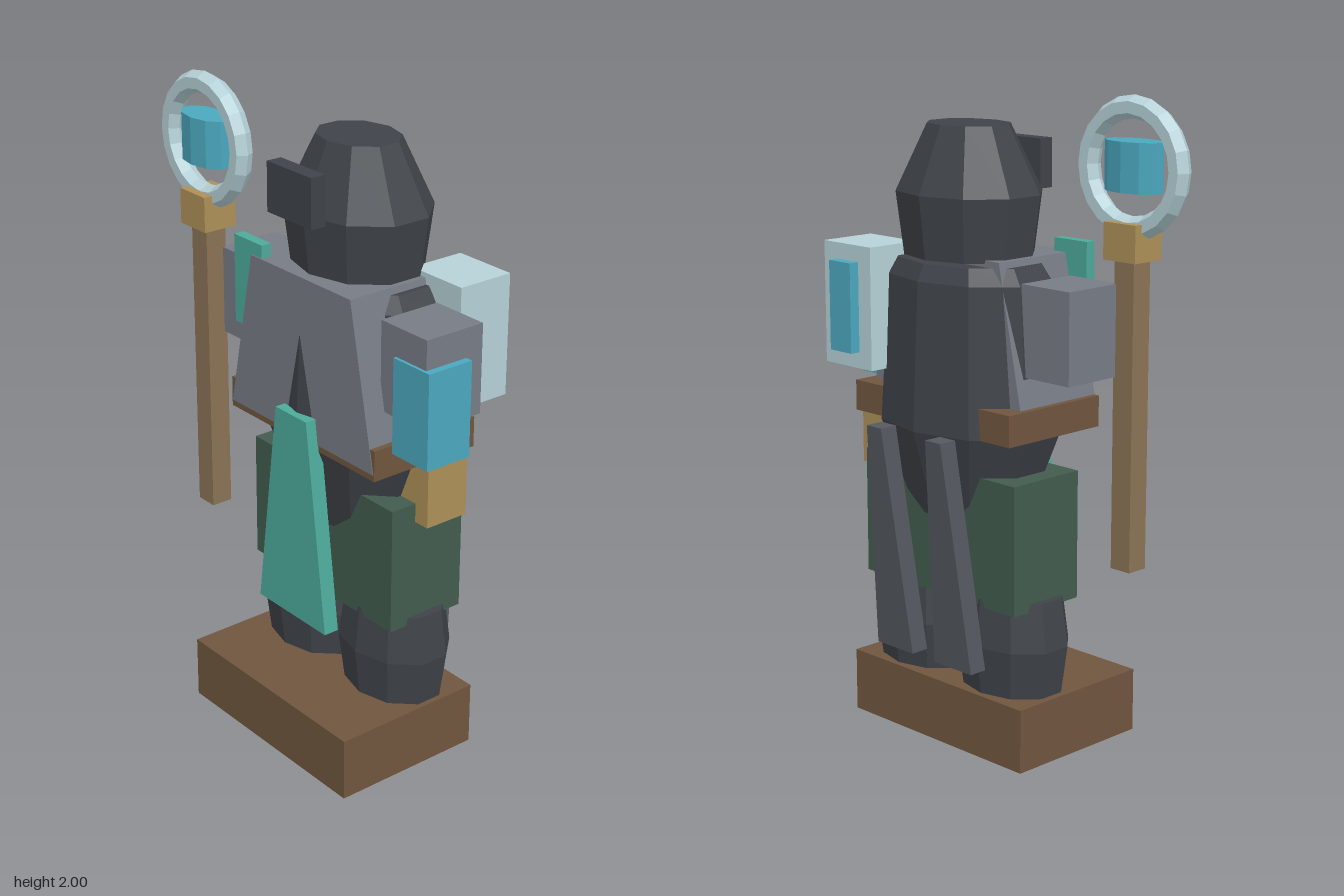
import * as THREE from 'three';

const COLORS = {
  dark: 0x3f4349, grey: 0x777c85, brown: 0x70563f, wood: 0x8a7355, tan: 0xae9058,
  green: 0x425c4e, teal: 0x4daa9b, blue: 0x4ba8bf, pale: 0xb6d2d8, strap: 0x555a61,
};
const CX = 0.105; // figure's own centre line
const CZ = -0.035;

export function createModel() {
  const model = new THREE.Group();
  const materials = {};
  for (const key in COLORS) {
    materials[key] = new THREE.MeshStandardMaterial({ color: COLORS[key], flatShading: true });
  }

  function add(name, geometry, color) {
    const mesh = new THREE.Mesh(geometry, materials[color]);
    mesh.name = name;
    model.add(mesh);
    return mesh;
  }

  // Box given by its extents on each axis
  function box(name, color, [x0, x1], [y0, y1], [z0, z1]) {
    const mesh = add(name, new THREE.BoxGeometry(x1 - x0, y1 - y0, z1 - z0), color);
    mesh.position.set((x0 + x1) / 2, (y0 + y1) / 2, (z0 + z1) / 2);
    return mesh;
  }

  // Narrow the top of a box in x and shift it in z
  function taper(mesh, topScale, topShiftZ = 0) {
    const p = mesh.geometry.attributes.position;
    for (let i = 0; i < p.count; i++) {
      if (p.getY(i) > 0) {
        p.setX(i, p.getX(i) * topScale);
        p.setZ(i, p.getZ(i) + topShiftZ);
      }
    }
    mesh.geometry.computeVertexNormals();
  }

  // Closed ten-sided barrel from [radius, height] pairs, flattened in z
  function barrel(name, rings, x, depth) {
    const first = rings[0][1], last = rings[rings.length - 1][1];
    const profile = [[0, first], ...rings, [0, last]].map(([r, y]) => new THREE.Vector2(r, y));
    const mesh = add(name, new THREE.LatheGeometry(profile, 10), 'dark');
    mesh.scale.z = depth;
    mesh.position.set(x, 0, CZ);
  }

  // Plinth
  box('base', 'brown', [-0.27, 0.475], [0, 0.2], [-0.19, 0.31]);

  // Paired parts: boots, thigh plates, arms and back tails
  for (const [side, s] of [['right', -1], ['left', 1]]) {
    const span = (a, b) => [CX + s * a, CX + s * b].sort((p, q) => p - q);
    barrel(side + 'Boot', [[0.175, 0.2], [0.197, 0.35], [0.175, 0.5]], CX + s * 0.186, 0.78);
    box(side + 'ThighPlate', 'green', span(0.03, 0.327), [0.475, 0.875], [-0.17, 0.1]);
    box(side + 'Arm', 'grey', span(0.28, 0.472), [1.185, 1.46], [-0.095, 0.11]);
    const tail = box(side + 'BackTail', 'strap', span(0.05, 0.21), [0.28, 1.0], [-0.235, -0.175]);
    taper(tail, 0.4, -0.075);
  }

  // Torso, chest and belt
  barrel('torso', [[0.21, 0.72], [0.328, 1.0], [0.295, 1.45], [0.26, 1.5]], CX, 0.71);
  taper(box('chestPlate', 'grey', [-0.228, 0.438], [1.02, 1.52], [-0.135, 0.18]), 0.685);
  box('belt', 'brown', [-0.232, 0.442], [1.0, 1.095], [-0.2, 0.178]);
  taper(box('frontTabard', 'teal', [-0.055, 0.265], [0.43, 1.1], [0.165, 0.215]), 0.45);
  box('shoulderTab', 'teal', [-0.21, -0.077], [1.285, 1.56], [0.142, 0.176]);

  // Head and visor
  barrel('head', [[0.22, 1.51], [0.247, 1.7], [0.14, 1.9]], CX, 0.815);
  box('visor', 'dark', [0.005, 0.205], [1.695, 1.845], [0.165, 0.215]);

  // Gear on the left side
  box('forearmGuard', 'blue', [0.45, 0.6], [1.075, 1.37], [-0.037, 0.12]);
  box('hipPouch', 'tan', [0.335, 0.485], [0.815, 1.06], [-0.137, 0.012]);
  box('backPack', 'pale', [0.275, 0.485], [1.16, 1.535], [-0.28, -0.095]);
  box('packPanel', 'blue', [0.33, 0.425], [1.21, 1.485], [-0.313, -0.27]);

  // Staff with ring and crystal
  const sx = -0.396, sz = 0.136;
  box('staffShaft', 'wood', [-0.434, -0.36], [0.6, 1.54], [0.1, 0.17]);
  box('staffCollar', 'tan', [-0.456, -0.333], [1.53, 1.64], [0.08, 0.194]);
  add('staffRing', new THREE.TorusGeometry(0.173, 0.034, 6, 20), 'pale').position.set(sx, 1.795, sz);
  const crystal = add('staffCrystal', new THREE.CylinderGeometry(0.102, 0.102, 0.145, 10), 'blue');
  crystal.scale.z = 0.56;
  crystal.position.set(sx, 1.8, sz);

  return model;
}
